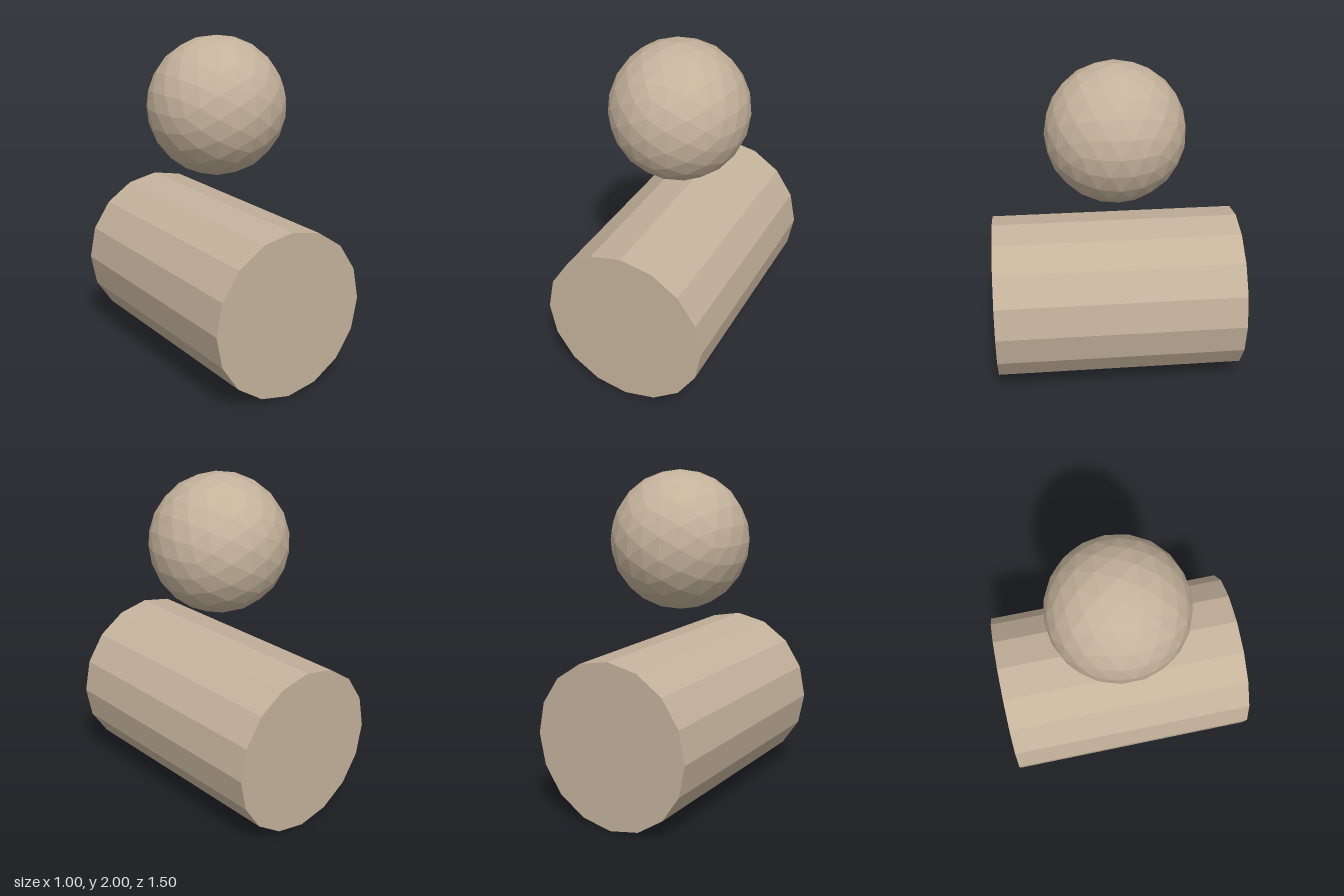
import * as THREE from 'three';

export function createModel() {
  const model = new THREE.Group();
  const material = new THREE.MeshStandardMaterial({ color: 0xc4b29b });
  material.flatShading = true;

  const add = (name, geometry, y) => {
    const mesh = new THREE.Mesh(geometry, material);
    mesh.name = name;
    mesh.position.y = y;
    model.add(mesh);
  };

  // Sixteen-sided drum lying along z
  const radius = 0.5, length = 1.5;
  add('cylinder', new THREE.CylinderGeometry(radius, radius, length, 16).rotateX(Math.PI / 2), radius);

  // Faceted ball floating above the drum
  const ballRadius = 0.415;
  add('ball', new THREE.IcosahedronGeometry(ballRadius, 3), 2 - ballRadius);

  return model;
}
